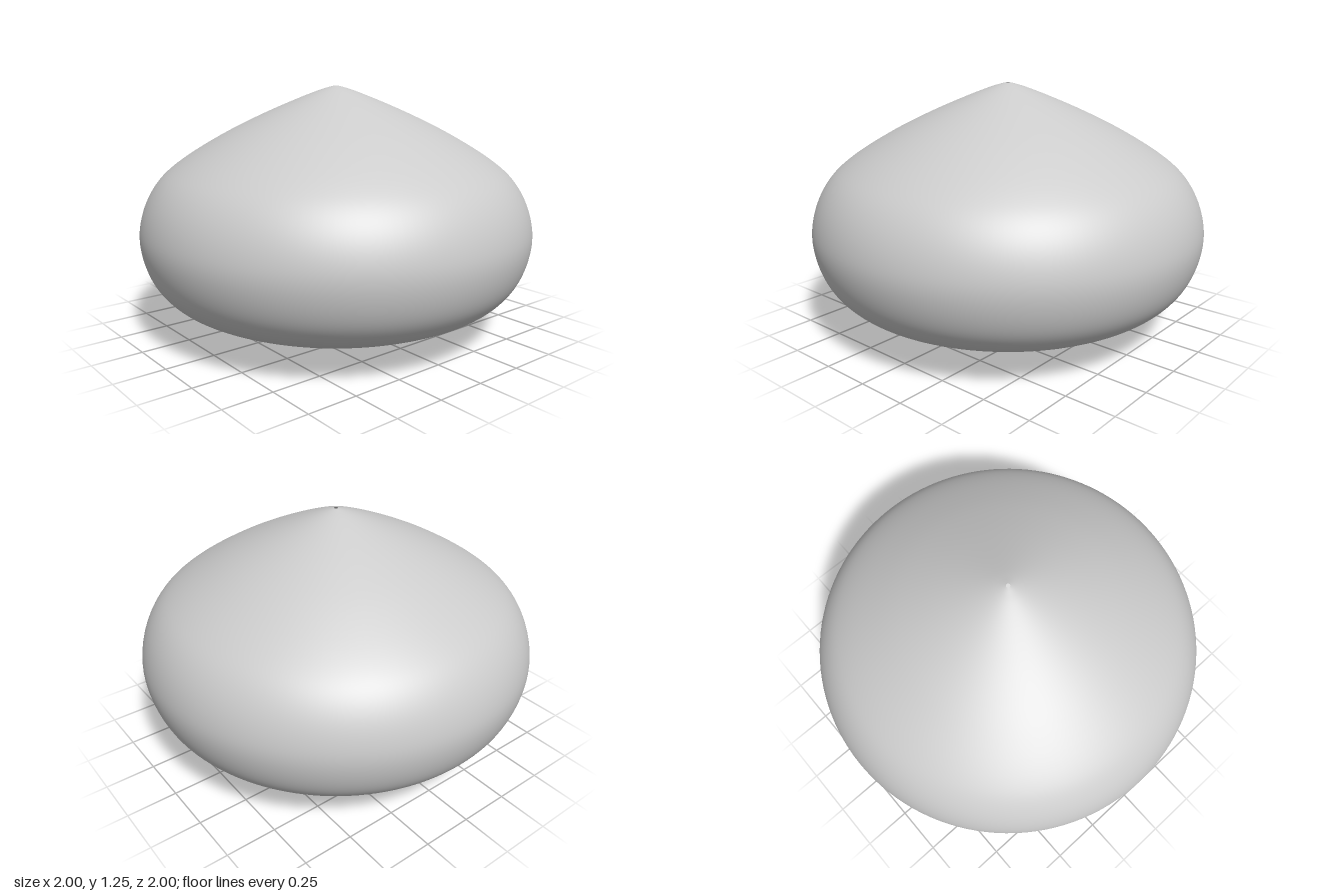
import * as THREE from 'three';

export function createModel() {
  const group = new THREE.Group();
  group.name = 'hollowShade';

  // Half profile: recessed lip of the bottom opening, round belly, pointed crown with a pinhole
  const profile = [
    [0.13, 0.066], [0.142, 0.03], [0.17, 0.006], [0.21, 0.002], [0.27, 0.014],
    [0.4, 0.05], [0.6, 0.102], [0.75, 0.152], [0.86, 0.214], [0.935, 0.296],
    [0.98, 0.395], [1, 0.51], [0.988, 0.61], [0.95, 0.712], [0.89, 0.8],
    [0.8, 0.878], [0.6, 1.002], [0.4, 1.103], [0.2, 1.19], [0.08, 1.236],
    [0.03, 1.251], [0.01, 1.256],
  ].map(([r, y]) => new THREE.Vector3(r, y, 0));

  const points = new THREE.CatmullRomCurve3(profile)
    .getPoints(110)
    .map((p) => new THREE.Vector2(Math.min(p.x, 1), Math.max(p.y, 0)));

  // Open thin shell, seen from inside through the bottom opening
  const shell = new THREE.Mesh(
    new THREE.LatheGeometry(points, 128),
    new THREE.MeshStandardMaterial({ color: 0xcccccc, side: THREE.DoubleSide })
  );
  shell.name = 'shell';
  group.add(shell);

  return group;
}
